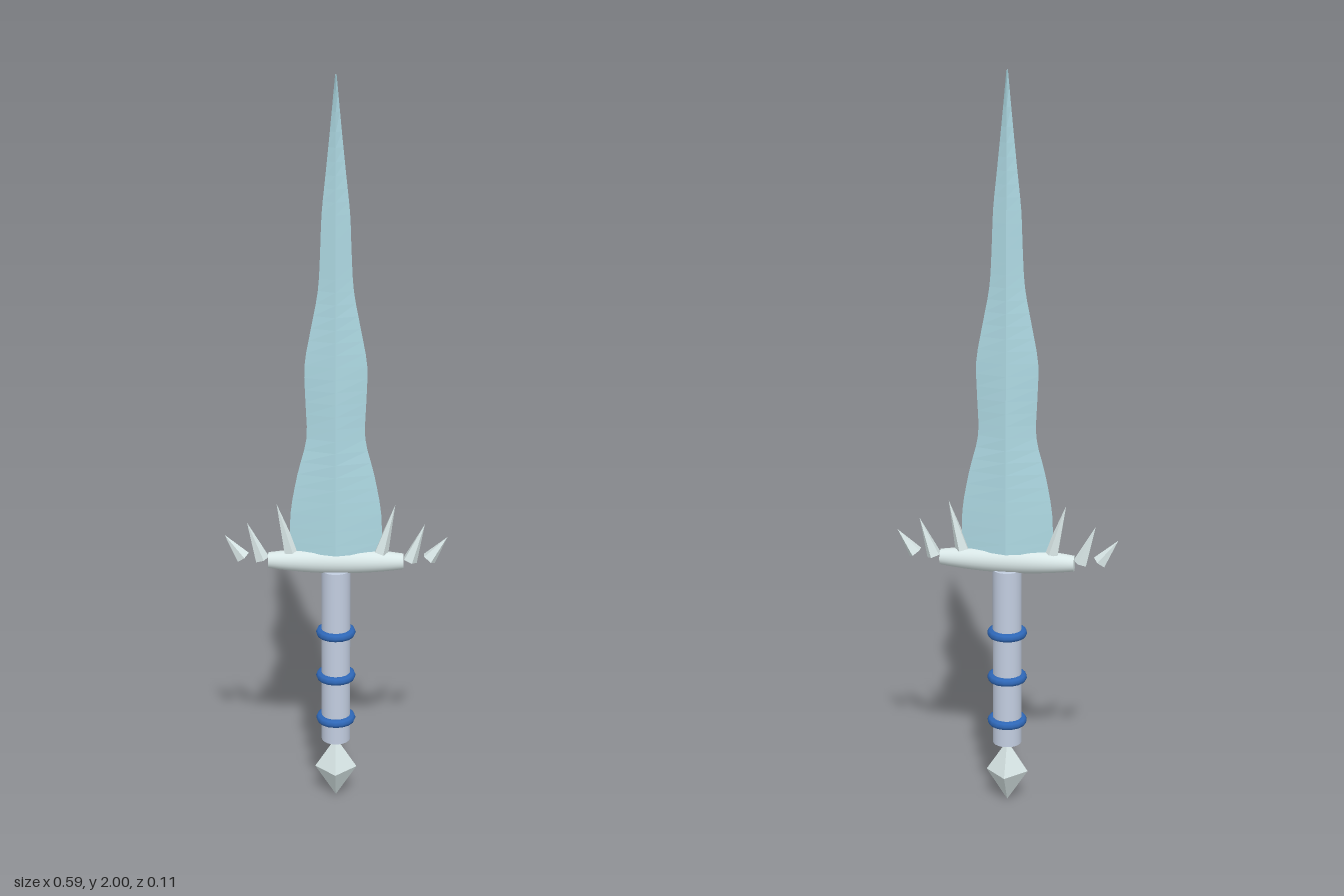
import * as THREE from 'three';

const paint = (color, flatShading = false) => new THREE.MeshStandardMaterial({ color, flatShading });

// Wavy blade: diamond cross-sections stacked along y
function bladeGeometry() {
  const profile = new THREE.SplineCurve([
    [0.122, 0.73], [0.12, 0.84], [0.101, 0.95], [0.077, 1.05], [0.079, 1.15], [0.081, 1.25],
    [0.064, 1.35], [0.046, 1.45], [0.04, 1.55], [0.036, 1.65], [0.026, 1.75], [0.015, 1.86], [0.002, 2],
  ].map(([x, y]) => new THREE.Vector2(x, y)));
  const rows = 36, pos = [], idx = [];
  for (let i = 0; i <= rows; i++) {
    const p = profile.getPoint(i / rows);
    const w = Math.max(p.x, 0.002);
    const d = THREE.MathUtils.mapLinear(p.y, 0.73, 2, 0.032, 0.009);
    pos.push(w, p.y, 0, 0, p.y, d, -w, p.y, 0, 0, p.y, -d);
  }
  for (let i = 0; i < rows; i++) {
    for (let k = 0; k < 4; k++) {
      const a = i * 4 + k, b = i * 4 + (k + 1) % 4;
      idx.push(a, a + 4, b, b, a + 4, b + 4);
    }
  }
  const t = rows * 4;
  idx.push(0, 1, 2, 0, 2, 3, t, t + 2, t + 1, t, t + 3, t + 2);
  const g = new THREE.BufferGeometry();
  g.setAttribute('position', new THREE.Float32BufferAttribute(pos, 3));
  g.setIndex(idx);
  g.computeVertexNormals();
  return g;
}

export function createModel() {
  const model = new THREE.Group();
  model.name = 'dagger';
  const add = (name, geometry, material, x = 0, y = 0) => {
    const mesh = new THREE.Mesh(geometry, material);
    mesh.name = name;
    mesh.position.set(x, y, 0);
    model.add(mesh);
    return mesh;
  };
  const silver = paint(0xd8e6e6);
  const facetedSilver = paint(0xd8e6e6, true);
  const blue = paint(0x2f68b8);

  add('blade', bladeGeometry(), paint(0xadd8e2, true));

  // Crossguard: a barrel lying along x, with flat ends
  const barrel = [];
  for (let i = 0; i <= 12; i++) {
    const t = i / 6 - 1;
    barrel.push(new THREE.Vector2(0.034 - 0.013 * t * t, t * 0.18));
  }
  const guard = add('crossguard', new THREE.LatheGeometry(barrel, 24), silver, 0, 0.705);
  guard.rotation.z = Math.PI / 2;
  for (const side of [-1, 1]) {
    const cap = add('crossguardEnd', new THREE.CircleGeometry(0.021, 24), silver, side * 0.18, 0.705);
    cap.rotation.y = side * Math.PI / 2;
  }

  // Five-sided spikes fanning outward: base x, base y, tip x, tip y
  const spikes = [
    [0.12, 0.73, 0.157, 0.866],
    [0.197, 0.708, 0.236, 0.812],
    [0.248, 0.713, 0.296, 0.776],
  ];
  for (const side of [-1, 1]) {
    for (const [bx, by, tx, ty] of spikes) {
      const length = Math.hypot(tx - bx, ty - by);
      const cone = new THREE.ConeGeometry(0.02, length, 5, 1, false, Math.PI / 2);
      cone.translate(0, length / 2, 0);
      const spike = add('spike', cone, facetedSilver, side * bx, by);
      spike.rotation.z = -side * Math.atan2(tx - bx, ty - by);
    }
  }

  // Grip with three rings
  add('grip', new THREE.CylinderGeometry(0.039, 0.039, 0.505, 24), paint(0xc2cde0), 0, 0.4275);
  for (const y of [0.24, 0.368, 0.497]) {
    const ring = add('gripRing', new THREE.TorusGeometry(0.042, 0.012, 8, 16), blue, 0, y);
    ring.rotation.x = Math.PI / 2;
  }

  // Pommel: stretched octahedron
  const pommel = add('pommel', new THREE.OctahedronGeometry(0.057), facetedSilver, 0, 0.088);
  pommel.scale.y = 0.088 / 0.057;

  return model;
}
